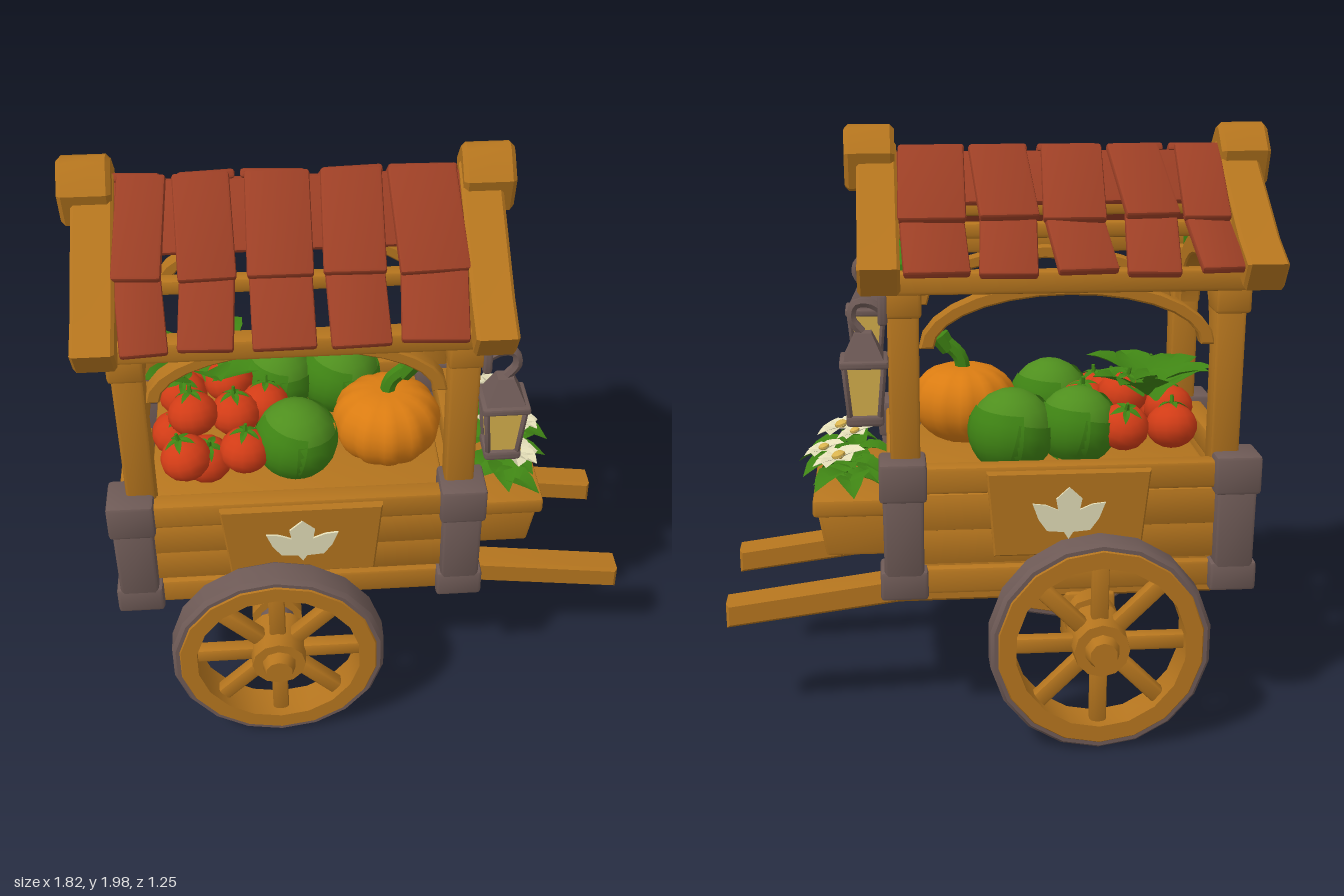
import * as THREE from 'three';
import { toCreasedNormals } from 'three/addons/utils/BufferGeometryUtils.js';
import { RoundedBoxGeometry } from 'three/addons/geometries/RoundedBoxGeometry.js';

const mat = (name, color, side = THREE.FrontSide) =>
  Object.assign(new THREE.MeshStandardMaterial({ color, side }), { name });
const wood = mat('wood', 0xb5751e), iron = mat('iron', 0x6e5a56), tileRed = mat('roofTile', 0x9c3f25);
const leafGreen = mat('leaf', 0x3f8414, THREE.DoubleSide), cabbageGreen = mat('cabbage', 0x4f8f1e);
const orange = mat('pumpkin', 0xda7c12), red = mat('tomato', 0xd23c16);
const cream = mat('cream', 0xe4deb8, THREE.DoubleSide), amber = mat('amber', 0xd9b34e);

const PI = Math.PI, SIDES = [-1, 1], ENDS = [-0.73, 0.305];
const V = (x, y, z) => new THREE.Vector3(x, y, z);

export function createModel() {
  const model = new THREE.Group();
  model.name = 'marketCart';

  function add(name, geo, material, x = 0, y = 0, z = 0, parent = model) {
    const m = new THREE.Mesh(toCreasedNormals(geo, 0.65), material);
    m.name = name;
    m.position.set(x, y, z);
    parent.add(m);
    return m;
  }
  function group(name, x = 0, y = 0, z = 0, parent = model) {
    const g = new THREE.Group();
    g.name = name;
    g.position.set(x, y, z);
    parent.add(g);
    return g;
  }
  // bevelled box whose lower end is scaled by kx, kz
  function box(w, h, d, kx = 1, kz = 1) {
    const g = new RoundedBoxGeometry(w, h, d, 1, Math.min(0.012, Math.min(w, h, d) / 3));
    const p = g.attributes.position;
    for (let i = 0; i < p.count; i++) if (p.getY(i) < 0) p.setXYZ(i, p.getX(i) * kx, p.getY(i), p.getZ(i) * kz);
    return g;
  }
  // beam running from point a to point b
  function bar(name, a, b, w, t, material, parent = model) {
    const m = new THREE.Mesh(toCreasedNormals(box(w, t, a.distanceTo(b)), 0.65), material);
    m.name = name;
    m.position.copy(a).add(b).multiplyScalar(0.5);
    m.lookAt(b);
    parent.add(m);
    return m;
  }
  const poly = pts => new THREE.Shape(pts.map(p => new THREE.Vector2(...p)));
  const extrude = (shape, depth, bevel = 0.01) => new THREE.ExtrudeGeometry(shape, {
    depth: depth - 2 * bevel, bevelEnabled: bevel > 0, bevelSize: bevel, bevelThickness: bevel,
    bevelOffset: -bevel, bevelSegments: 1, curveSegments: 10 }).translate(0, 0, bevel - depth / 2);
  const mirrorPts = pts => [...pts, ...pts.filter(p => p[0] > 0).reverse().map(([x, y]) => [-x, y])];
  function arch(a, b, t, depth) {
    const pts = [];
    for (let i = 0; i <= 14; i++) pts.push([a * Math.cos(i * PI / 14), b * Math.sin(i * PI / 14)]);
    for (let i = 14; i >= 0; i--) pts.push([(a - t) * Math.cos(i * PI / 14), (b - t) * Math.sin(i * PI / 14)]);
    return extrude(poly(pts), depth, 0.006);
  }
  const cyl = (r1, r2, h, n) => new THREE.CylinderGeometry(r1, r2, h, n);
  const square = (top, bottom, h) => cyl(top * Math.SQRT2, bottom * Math.SQRT2, h, 4).rotateY(PI / 4);
  // folded leaf pointing along +z
  function leaf(len, width, rise, droop) {
    const g = new THREE.PlaneGeometry(1, 1, 2, 4).rotateX(-PI / 2), p = g.attributes.position;
    for (let i = 0; i < p.count; i++) {
      const t = p.getZ(i) + 0.5, side = p.getX(i);
      const w = width * (0.12 + Math.sin(PI * Math.pow(t, 0.75))) * (t > 0.99 ? 0 : 1);
      p.setXYZ(i, side * w, rise * t - droop * t * t + Math.abs(side) * w * 0.35, t * len);
    }
    return g;
  }

  // wheels and axle
  const ring = (ri, ro, h) => new THREE.LatheGeometry(
    [[ri, -h], [ro - 0.012, -h], [ro, -h + 0.015], [ro, h - 0.015], [ro - 0.012, h], [ri, h], [ri, -h]]
      .map(p => new THREE.Vector2(...p)), 18).rotateX(PI / 2);
  for (const s of SIDES) {
    const w = group('wheel', -0.31, 0.385, s * 0.51);
    add('tyre', ring(0.325, 0.362, 0.053), iron, 0, 0, 0, w);
    add('rim', ring(0.278, 0.345, 0.058), wood, 0, 0, 0, w);
    for (let i = 0; i < 8; i++) {
      const a = i * PI / 4, c = Math.cos(a), n = Math.sin(a);
      bar('spoke', V(c * 0.06, n * 0.06, 0), V(c * 0.3, n * 0.3, 0), 0.05, 0.055, wood, w);
    }
    add('hub', cyl(0.09, 0.1, 0.15, 12).rotateX(s * PI / 2), wood, 0, 0, 0, w);
    add('hubCap', cyl(0.045, 0.06, 0.045, 10).rotateX(s * PI / 2), wood, 0, 0, s * 0.09, w);
    add('axleCollar', cyl(0.062, 0.062, 0.16, 12).rotateX(PI / 2), iron, 0, 0, -s * 0.12, w);
    // pulling shafts and their axle blocks
    add('shaft', extrude(poly([[-0.78, 0.45], [0.33, 0.445], [0.91, 0.37], [0.91, 0.455], [0.35, 0.53], [-0.78, 0.515]]), 0.1),
      wood, 0, 0, s * 0.24);
    add('axleBlock', box(0.17, 0.2, 0.13), wood, -0.31, 0.365, s * 0.245);
  }
  add('axle', cyl(0.09, 0.09, 0.74, 10).rotateX(PI / 2), wood, -0.31, 0.385, 0);

  // cart body
  const mid = -0.22;
  add('floor', box(0.98, 0.04, 0.72), wood, mid, 0.6, 0);
  add('produceBed', box(0.98, 0.04, 0.72), wood, mid, 0.87, 0);
  for (const s of SIDES) {
    for (const [y, h, z, d] of [[0.915, 0.09, 0.385, 0.07], [0.8, 0.125, 0.38, 0.03], [0.68, 0.125, 0.372, 0.03], [0.56, 0.09, 0.36, 0.06]]) {
      add('sideBoard', box(0.98, h, d), wood, mid, y, s * z);
      add('endBoard', box(d, h, 0.68), wood, mid + s * (z + 0.165), y, 0);
    }
    for (const x of [-0.765, 0.315]) {
      const c = group('cornerPost', x, 0, s * 0.367);
      add('postTop', box(0.152, 0.13, 0.152), iron, 0, 0.915, 0, c);
      add('postShaft', box(0.132, 0.3, 0.132, 0.97, 0.97), iron, 0, 0.735, -s * 0.004, c);
      add('postFoot', box(0.155, 0.1, 0.14), iron, 0, 0.56, -s * 0.01, c);
    }
    // hanging panel with a cream leaf
    const p = group('sidePanel', -0.215, 0.8, s * 0.418);
    p.rotation.set(s * 0.06, s < 0 ? PI : 0, 0);
    add('panel', extrude(poly([[-0.24, -0.145], [0.24, -0.145], [0.265, 0.145], [-0.265, 0.145]]), 0.03, 0.006), wood, 0, 0, 0, p);
    add('paintedLeaf', extrude(poly(mirrorPts([[0, -0.09], [0.015, -0.065], [0.07, -0.06], [0.098, -0.02], [0.118, 0.035],
      [0.075, 0.03], [0.035, 0.012], [0.042, 0.05], [0, 0.09]])), 0.008, 0), cream, 0, 0.005, 0.018, p);
  }

  // flower box
  add('flowerBox', box(0.47, 0.17, 0.59, 0.9, 0.95), wood, 0.36, 0.7, 0);
  add('flowerBoxRim', box(0.5, 0.06, 0.62), wood, 0.36, 0.79, 0);
  for (let i = 0; i < 26; i++) {
    const l = add('flowerLeaf', leaf(0.15, 0.09, 0.06, 0.09), leafGreen,
      0.47 + 0.06 * (i % 3) / 2, 0.85 + 0.03 * (i % 2), -0.22 + 0.44 * i / 25);
    l.rotation.y = i * 2.4;
  }
  for (const [x, y, z, r] of [[0.52, 0.925, -0.19, 0.095], [0.575, 0.905, -0.03, 0.075], [0.52, 0.925, 0.17, 0.095], [0.47, 0.94, 0.04, 0.07]]) {
    const f = group('flower', x, y, z);
    f.rotation.z = -0.3;
    for (let i = 0; i < 7; i++)
      add('petal', leaf(r, r * 0.8, 0.02, 0.012), cream, 0, 0.002 * (i % 2), 0, f).rotation.y = i * PI * 2 / 7;
    add('flowerCentre', new THREE.SphereGeometry(r * 0.26, 8, 5).scale(1, 0.6, 1), amber, 0, 0.014, 0, f);
  }

  // canopy frame
  for (const x of ENDS) {
    const out = x < 0 ? -1 : 1;
    for (const s of SIDES) {
      add('canopyPost', box(0.1, 0.64, 0.085, 0.95, 0.95), wood, x, 1.2, s * 0.335);
      add('postHead', box(0.115, 0.1, 0.12), wood, x, 1.49, s * 0.345);
      bar('gableStrut', V(x + out * 0.02, 1.6, s * 0.03), V(x + out * 0.02, 1.77, s * 0.12), 0.04, 0.035, wood);
    }
    add('endArch', arch(0.305, 0.285, 0.075, 0.075).rotateY(PI / 2), wood, x, 1.35, 0);
    add('kingPost', box(0.05, 0.24, 0.05), wood, x + out * 0.02, 1.72, 0);
    add('gableCloth', extrude(poly([[-0.34, 1.54], [0.34, 1.54], [0.34, 1.6], [0, 1.84], [-0.34, 1.6]]), 0.012, 0)
      .rotateY(PI / 2).translate(0, 0, 0), leafGreen, x, 0, 0).name = 'gableCloth';
    // open the cloth under the arch by keeping only its upper part
    const cloth = model.children[model.children.length - 1];
    cloth.geometry = extrude(poly(mirrorPts([[0, 1.6], [0.1, 1.59], [0.19, 1.555], [0.26, 1.5], [0.34, 1.53], [0.34, 1.6], [0, 1.85]])), 0.012, 0)
      .rotateY(PI / 2);
    const rx = x < 0 ? -0.807 : 0.377;
    add('gableRafter', extrude(poly(mirrorPts([[0, 1.8], [0.33, 1.585], [0.455, 1.525], [0.51, 1.615], [0.38, 1.68], [0, 1.945]])), 0.13)
      .rotateY(PI / 2), wood, rx, 0, 0);
    add('ridgeCap', extrude(poly(mirrorPts([[0, 1.785], [0.065, 1.8], [0.1, 1.915], [0.03, 1.99], [0, 2.0]])), 0.163, 0.014)
      .rotateY(PI / 2), wood, x < 0 ? -0.828 : 0.4, 0, 0);
  }
  add('ridgeBeam', box(1.1, 0.08, 0.07), wood, mid, 1.83, 0);
  for (const s of SIDES) {
    add('eaveBeam', box(1.14, 0.07, 0.07), wood, mid, 1.55, s * 0.38);
    add('purlin', box(1.1, 0.05, 0.05), wood, mid, 1.69, s * 0.25);
    add('sideArch', arch(0.47, 0.21, 0.045, 0.06), wood, mid + 0.005, 1.335, s * 0.335);
  }

  // roof tiles
  const columns = [[-0.67, 0.15], [-0.475, 0.175], [-0.25, 0.2], [-0.025, 0.19], [0.205, 0.215]];
  for (const s of SIDES) {
    bar('roofSheet', V(mid, 1.905, 0), V(mid, 1.765, s * 0.2), 1.08, 0.02, tileRed);
    columns.forEach(([x, w], i) => {
      const j = Math.sin(i * 2.7 + s) * 0.012;
      bar('upperTile', V(x + j, 1.925, s * -0.005), V(x - j, 1.728 + j / 2, s * 0.295), w, 0.03, tileRed);
      bar('lowerTile', V(x - j, 1.735, s * 0.24), V(x + j, 1.585 - j / 2, s * 0.468), w * 0.95, 0.03, tileRed);
    });
  }

  // lanterns
  for (const s of SIDES) {
    const l = group('lantern', 0.428, 0, s * 0.385);
    add('wallPlate', box(0.03, 0.1, 0.08), iron, -0.06, 1.47, -s * 0.015, l);
    const path = new THREE.CatmullRomCurve3([V(-0.07, 1.46, 0), V(-0.02, 1.49, 0), V(0.025, 1.485, 0), V(0.035, 1.44, 0), V(0.005, 1.4, 0)]);
    add('hook', new THREE.TubeGeometry(path, 12, 0.016, 6), iron, 0, 0, 0, l);
    add('lanternRoof', square(0.025, 0.066, 0.09), iron, 0, 1.355, 0, l);
    add('lanternRim', box(0.152, 0.025, 0.152), iron, 0, 1.308, 0, l);
    add('lanternGlass', square(0.06, 0.045, 0.17), amber, 0, 1.215, 0, l);
    add('lanternBase', box(0.118, 0.035, 0.118), iron, 0, 1.125, 0, l);
    for (const a of SIDES) for (const b of SIDES)
      bar('lanternBar', V(a * 0.046, 1.13, b * 0.046), V(a * 0.062, 1.31, b * 0.062), 0.016, 0.016, iron, l);
  }

  // pumpkin
  const pumpkin = new THREE.SphereGeometry(1, 48, 14), pp = pumpkin.attributes.position;
  for (let i = 0; i < pp.count; i++) {
    const x = pp.getX(i), y = pp.getY(i), z = pp.getZ(i), r = Math.hypot(x, z);
    const k = 0.94 + 0.06 * Math.abs(Math.cos(6 * Math.atan2(z, x)));
    pp.setXYZ(i, x * k * 0.185, y * 0.15 - (y > 0 ? 0.03 * (1 - r) * y : 0), z * k * 0.185);
  }
  add('pumpkin', pumpkin, orange, 0.09, 1.04, 0.1);
  const stem = new THREE.CatmullRomCurve3([V(0.09, 1.14, 0.1), V(0.105, 1.2, 0.1), V(0.155, 1.25, 0.105)]);
  add('pumpkinStem', new THREE.TubeGeometry(stem, 6, 0.026, 7), leafGreen);
  add('stemTip', cyl(0.036, 0.028, 0.06, 7).rotateZ(-0.6), leafGreen, 0.157, 1.245, 0.105);

  // cabbages with wrapping leaves
  for (const [x, y, z, r] of [[-0.22, 1.03, 0.17, 0.135], [-0.05, 1.02, -0.21, 0.14], [-0.27, 1.03, -0.2, 0.13]]) {
    const c = group('cabbage', x, y, z);
    add('cabbageHeart', new THREE.SphereGeometry(r, 16, 10), cabbageGreen, 0, 0, 0, c);
    for (let i = 0; i < 4; i++)
      add('wrapLeaf', new THREE.SphereGeometry(r * 1.05, 6, 6, i * PI / 2, 1.75, 1.0 + 0.2 * (i % 2), 1.4), leafGreen, 0, 0, 0, c)
        .rotation.z = 0.15 * (i - 1.5);
  }

  // tomatoes with small leafy tops
  const tomatoes = [[-0.585, 1.02, 0.24], [-0.39, 1.025, 0.22], [-0.56, 1.095, 0.1], [-0.62, 1.0, 0.08], [-0.42, 1.06, 0.06],
    [-0.6, 1.05, -0.08], [-0.44, 1.1, -0.08], [-0.58, 1.03, -0.24], [-0.42, 1.03, -0.24], [-0.52, 0.98, 0.2], [-0.32, 1.05, 0]];
  tomatoes.forEach(([x, y, z], n) => {
    const t = group('tomato', x, y, z);
    t.rotation.set(0.25 * Math.sin(n * 3), n, 0.25 * Math.cos(n * 2));
    add('fruit', new THREE.SphereGeometry(0.085, 14, 9).scale(1, 0.88, 1), red, 0, 0, 0, t);
    for (let i = 0; i < 5; i++)
      add('sepal', leaf(0.055, 0.022, 0, 0.018), leafGreen, 0, 0.077, 0, t).rotation.y = i * PI * 0.4;
    add('stalk', cyl(0.006, 0.009, 0.03, 5), leafGreen, 0, 0.088, 0, t);
  });

  // loose greens behind the tomatoes
  for (let i = 0; i < 12; i++) {
    const a = i * 2.4;
    const l = add('greens', leaf(0.17, 0.12, 0.13, 0.06), leafGreen,
      -0.53 + 0.04 * Math.sin(a), 1.11 + 0.015 * (i % 3), -0.12 + 0.2 * (i / 11 - 0.5));
    l.rotation.y = a;
  }
  return model;
}
